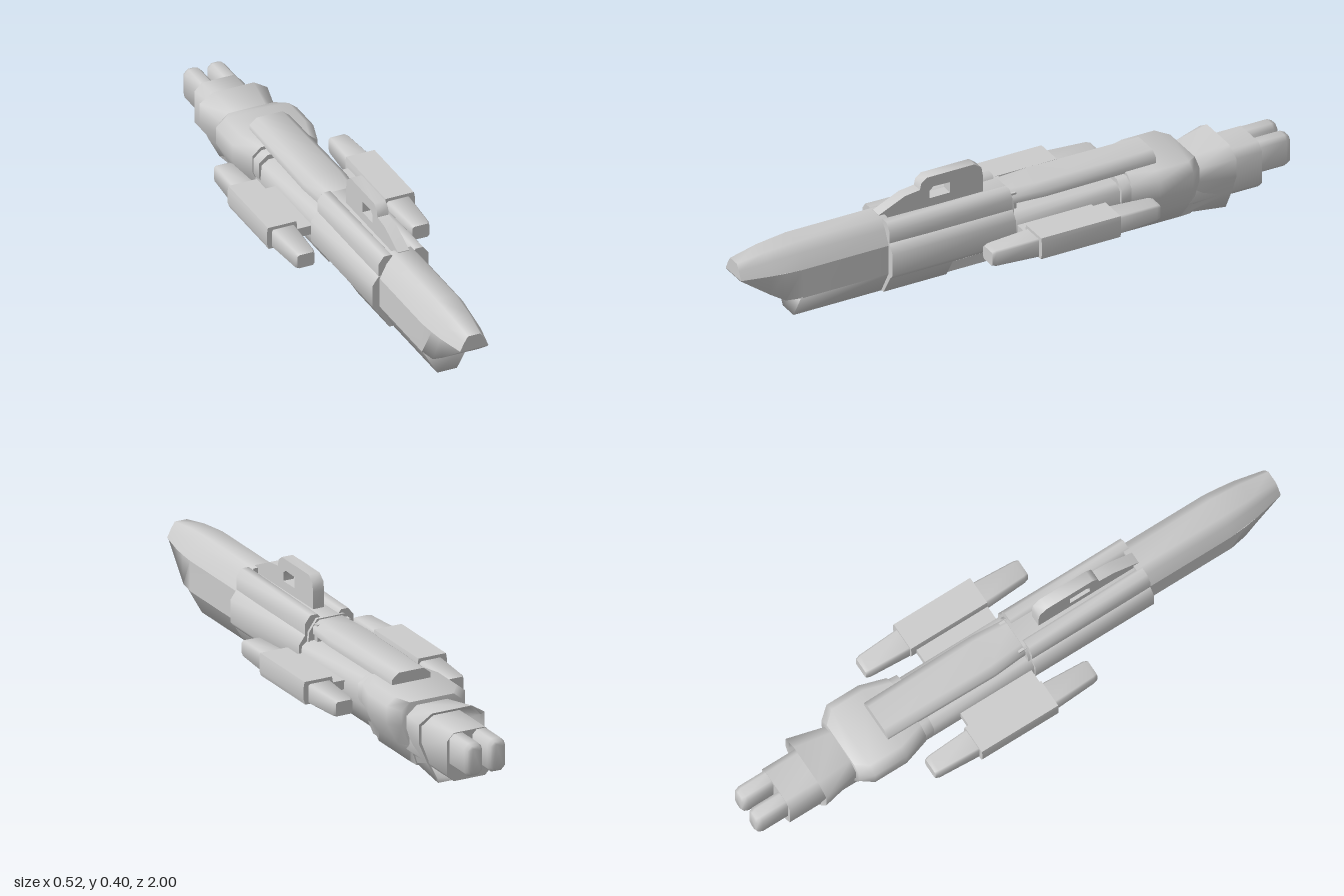
import * as THREE from 'three';
import { toCreasedNormals } from 'three/addons/utils/BufferGeometryUtils.js';

const grey = new THREE.MeshStandardMaterial({ color: 0xcccccc });
grey.name = 'hullGrey';
grey.side = THREE.DoubleSide;

// Loft through sections [z, half profile], listed front to back.
// A half profile runs top to bottom on the +x side and is mirrored.
function loft(sections, crease = 1.1, caps = true) {
  const rings = sections.map(([z, half]) => [
    ...half.map(([x, y]) => [x, y, z]),
    ...half.slice().reverse().map(([x, y]) => [-x, y, z]),
  ]);
  const n = rings[0].length, out = [];
  const tri = (a, b, c) => out.push(...a, ...b, ...c);
  for (let i = 0; i < rings.length - 1; i++) {
    for (let j = 0; j < n; j++) {
      const k = (j + 1) % n, f = rings[i], b = rings[i + 1];
      tri(f[j], f[k], b[j]);
      tri(f[k], b[k], b[j]);
    }
  }
  if (caps) {
    const f = rings[0], b = rings[rings.length - 1];
    for (let j = 1; j < n - 1; j++) {
      tri(f[0], f[j + 1], f[j]);
      tri(b[0], b[j], b[j + 1]);
    }
  }
  const g = new THREE.BufferGeometry();
  g.setAttribute('position', new THREE.Float32BufferAttribute(out, 3));
  return toCreasedNormals(g, crease);
}

// Chamfered rectangle half profile
const chamfer = (w, y0, y1, c) => [[w - c, y1], [w, y1 - c], [w, y0 + c], [w - c, y0]];
const points = (list) => list.map(([x, y]) => new THREE.Vector2(x, y));

export function createModel() {
  const model = new THREE.Group();
  const add = (name, geometry, x = 0) => {
    const m = new THREE.Mesh(geometry, grey);
    m.name = name;
    m.position.x = x;
    model.add(m);
  };
  const box = (name, x, y, z, w, h, d) =>
    add(name, new THREE.BoxGeometry(w, h, d).translate(0, y, z), x);

  // Pointed nose: upper shell, undercut beak and the chin beneath it
  const shell = [[0.035, 0.31], [0.06, 0.28], [0.084, 0.232]];
  add('noseShell', loft([
    [1.0, [[0.022, 0.282], [0.036, 0.26], [0.05, 0.232]]],
    [0.9, [[0.03, 0.3], [0.05, 0.272], [0.072, 0.232]]],
    [0.79, shell],
    [0.46, shell],
  ]));
  const jaw = [[0.084, 0.232], [0.084, 0.128]];
  add('noseBeak', loft([
    [1.0, [[0.05, 0.232], [0.046, 0.229]]],
    [0.9, [[0.072, 0.232], [0.064, 0.16]]],
    [0.85, [[0.079, 0.232], [0.074, 0.13]]],
    [0.79, jaw],
    [0.46, jaw],
  ], 1.55));
  const chin = [[0.084, 0.13], [0.035, 0.043]];
  add('chin', loft([[0.8, chin], [0.46, chin]], 1.65));

  // Middle hull: core, side armour, belly and twin top rails
  const core = [[0.05, 0.292], [0.08, 0.25], [0.085, 0.118]];
  add('middleHull', loft([[0.48, core], [0.02, core]]));
  const sides = [[0.088, 0.24], [0.11, 0.21], [0.11, 0.135], [0.098, 0.118]];
  add('sideArmour', loft([[0.48, sides], [0.03, sides]]));
  const belly = [[0.1, 0.13], [0.09, 0.11], [0.05, 0.045]];
  add('belly', loft([[0.48, belly], [0.25, belly]]));
  box('bellyRail', 0, 0.062, 0.14, 0.08, 0.034, 0.24);
  const rail = [[0.013, 0.31], [0.032, 0.285], [0.032, 0.242]];
  for (const s of [-1, 1]) {
    add('topRail', loft([[0.48, rail], [0.03, rail.map(([x, y]) => [x, y - 0.006])]]), s * 0.056);
  }

  // Sight fin with an opening, drawn in side profile
  const fin = new THREE.Shape(points([
    [0.48, 0.29], [0.48, 0.312], [0.385, 0.355], [0.33, 0.362], [0.325, 0.385], [0.305, 0.4],
    [0.13, 0.4], [0.105, 0.38], [0.1, 0.35], [0.1, 0.29],
  ]));
  fin.holes.push(new THREE.Path(points([
    [0.22, 0.322], [0.22, 0.36], [0.28, 0.362], [0.295, 0.35], [0.295, 0.322],
  ])));
  const finGeometry = new THREE.ExtrudeGeometry(fin, { depth: 0.04, bevelEnabled: false });
  finGeometry.rotateY(-Math.PI / 2).translate(0.02, 0, 0);
  add('sightFin', toCreasedNormals(finGeometry, 1.1));

  // Rear hull with a raised plate floating over it
  const rear = [[0.075, 0.222], [0.1, 0.205], [0.105, 0.14], [0.09, 0.1], [0.05, 0.045]];
  add('rearHull', loft([[0.035, rear], [-0.4, rear]]));
  const plate = (w) => [[w - 0.025, 0.288], [w, 0.268], [w, 0.245]];
  add('topPlate', loft([[0.03, plate(0.065)], [-0.1, plate(0.075)], [-0.505, plate(0.07)]]));
  box('plateSupport', 0, 0.235, 0.015, 0.12, 0.09, 0.03);

  // Engine block
  const block = (w, top, bottom) => [
    [w - 0.03, top], [w, top - 0.025], [w, 0.165], [w * 0.72, 0.09], [0.055, bottom],
  ];
  add('engineCollar', loft([[-0.355, block(0.11, 0.238, 0.03)], [-0.42, block(0.115, 0.24, 0.03)]]));
  add('engineBlock', loft([
    [-0.39, block(0.115, 0.25, 0.018)],
    [-0.48, block(0.143, 0.25, 0.018)],
    [-0.6, block(0.143, 0.25, 0.018)],
    [-0.64, block(0.11, 0.24, 0.02)],
  ]));

  // Flared open skirt around the tail
  const skirt = (w, top, bottom) => [
    [w * 0.6, top], [w, top - 0.03], [w, 0.15], [w * 0.75, 0.08], [0.05, bottom],
  ];
  add('flaredSkirt', loft([
    [-0.63, skirt(0.09, 0.225, 0.022)],
    [-0.77, skirt(0.12, 0.245, 0.003)],
    [-0.765, skirt(0.108, 0.236, 0.016)],
    [-0.66, skirt(0.08, 0.215, 0.035)],
  ], 1.1, false));
  add('tailBlock', loft([
    [-0.6, chamfer(0.082, 0.05, 0.215, 0.025)],
    [-0.885, chamfer(0.082, 0.05, 0.215, 0.025)],
  ]));

  // Mirrored exhausts, pylons and side pods
  for (const s of [-1, 1]) {
    add('exhaust', loft([
      [-0.87, chamfer(0.03, 0.1, 0.212, 0.014)],
      [-0.98, chamfer(0.03, 0.1, 0.212, 0.014)],
      [-0.995, chamfer(0.026, 0.106, 0.206, 0.014)],
      [-1.0, chamfer(0.018, 0.114, 0.198, 0.01)],
    ]), s * 0.042);
    box('pylon', s * 0.13, 0.17, -0.115, 0.08, 0.032, 0.27);
    const pod = [[0.05, 0.216], [0.053, 0.2], [0.053, 0.155], [0.047, 0.138]];
    add('podBody', loft([[0.02, pod], [-0.27, pod]]), s * 0.208);
    const tip = (w, h) => chamfer(w, 0.172 - h, 0.172 + h, 0.006);
    add('podFront', loft([[0.185, tip(0.03, 0.024)], [0.17, tip(0.034, 0.028)], [0, tip(0.042, 0.034)]]), s * 0.203);
    add('podRear', loft([[-0.25, tip(0.042, 0.034)], [-0.415, tip(0.034, 0.028)], [-0.43, tip(0.03, 0.024)]]), s * 0.203);
  }
  return model;
}
